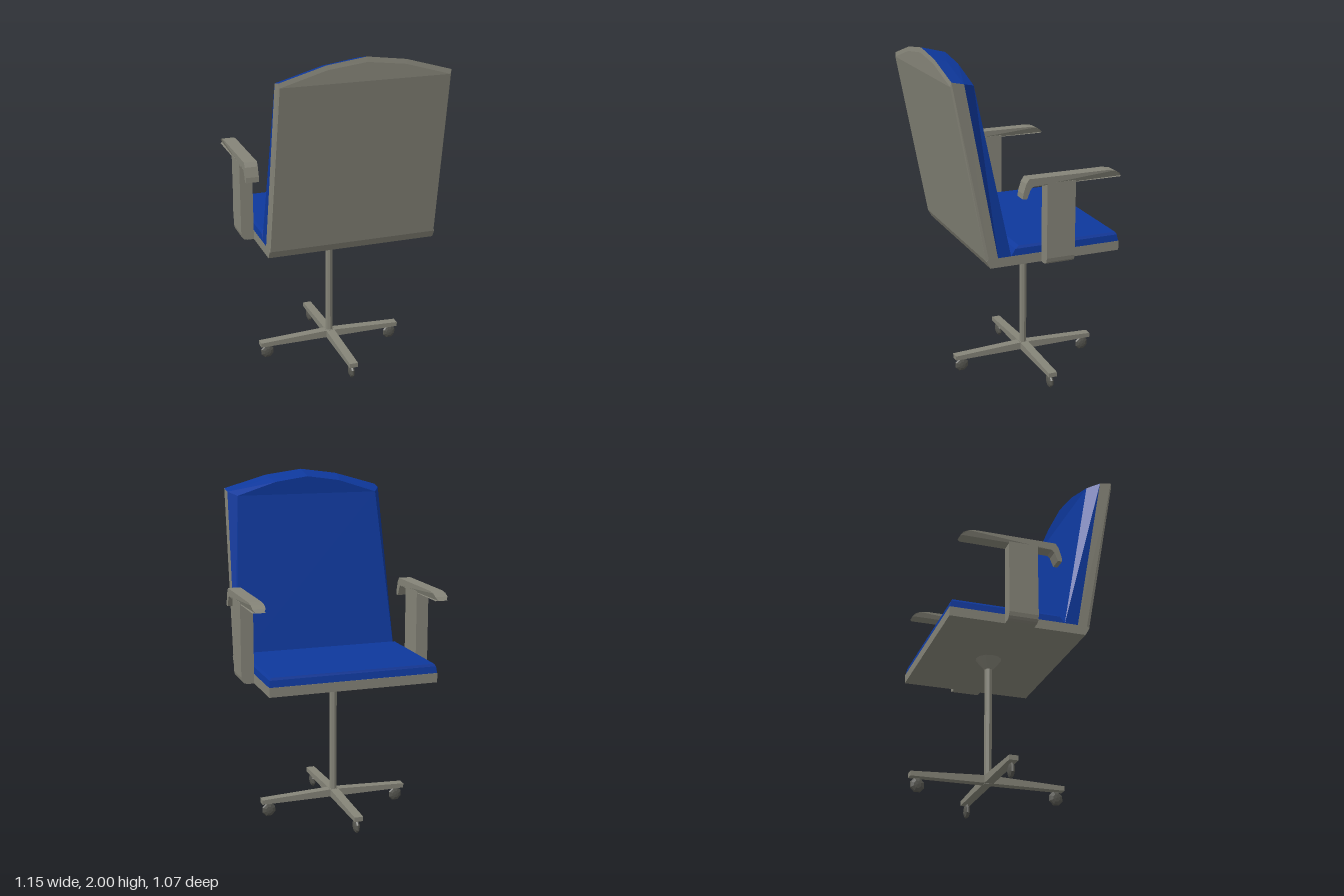
import * as THREE from 'three';

const grey = new THREE.MeshStandardMaterial({ color: 0x858478 });
const blue = new THREE.MeshStandardMaterial({ color: 0x0e389c });
const dark = new THREE.MeshStandardMaterial({ color: 0x55554f });
grey.name = 'grey plastic';
blue.name = 'blue fabric';
dark.name = 'dark rubber';

const AXIS_Z = -0.085; // z of the pedestal

function mesh(name, geometry, material) {
  const flat = geometry.index ? geometry.toNonIndexed() : geometry;
  flat.computeVertexNormals();
  const m = new THREE.Mesh(flat, material);
  m.name = name;
  return m;
}

// Extrude an (x, y) outline along z from z0 to z1
function extrudeZ(points, z0, z1) {
  const shape = new THREE.Shape(points.map(([x, y]) => new THREE.Vector2(x, y)));
  return new THREE.ExtrudeGeometry(shape, { depth: z1 - z0, bevelEnabled: false }).translate(0, 0, z0);
}

// Extrude a (z, y) outline along x from x0 to x1
function extrudeX(points, x0, x1) {
  return extrudeZ(points.map(([z, y]) => [-z, y]), x0, x1).rotateY(Math.PI / 2);
}

// Geometry from flat convex polygons
function polygons(list) {
  const pos = [];
  for (const p of list) {
    for (let i = 1; i < p.length - 1; i++) pos.push(...p[0], ...p[i], ...p[i + 1]);
  }
  const g = new THREE.BufferGeometry();
  g.setAttribute('position', new THREE.Float32BufferAttribute(pos, 3));
  return g;
}

// Quads joining two rings; ring a runs anticlockwise seen from its outer side
function band(a, b) {
  return a.map((p, i) => {
    const j = (i + 1) % a.length;
    return [p, b[i], b[j], a[j]];
  });
}

// Outline of the backrest at one depth: straight sides and a low arched top
function backRing(xb, yb, zb, xt, yCorner, yShoulder, yPeak, zt) {
  const xs = xt * 0.46;
  return [
    [-xb, yb, zb], [xb, yb, zb], [xt, yCorner, zt], [xs, yShoulder, zt],
    [0, yPeak, zt], [-xs, yShoulder, zt], [-xt, yCorner, zt],
  ];
}

function seatRing(x, y, zBack, zFront) {
  return [[-x, y, zBack], [x, y, zBack], [x, y, zFront], [-x, y, zFront]];
}

function backrest() {
  const g = new THREE.Group();
  g.name = 'backrest';
  const outer = backRing(0.495, 0.89, 0.35, 0.48, 1.87, 1.945, 1.972, 0.535);
  const rim = backRing(0.5, 0.9, 0.335, 0.487, 1.895, 1.97, 2.0, 0.53);
  const seam = backRing(0.5, 0.9, 0.28, 0.485, 1.88, 1.954, 1.983, 0.46);
  const front = backRing(0.5, 0.89, 0.2, 0.44, 1.86, 1.936, 1.965, 0.39);
  const pick = (r, ids) => ids.map((i) => r[i]);
  const edge = band(rim, seam);
  const shell = [
    pick(outer, [0, 1, 2, 6]), pick(outer, [2, 3, 4, 5, 6]),
    ...band(outer, rim), edge[0], edge[1], edge[6],
  ];
  const cushion = [
    pick(front, [6, 2, 1, 0]), pick(front, [6, 5, 4, 3, 2]),
    ...band(seam, front), ...edge.slice(2, 6),
  ];
  g.add(mesh('backShell', polygons(shell), grey), mesh('backCushion', polygons(cushion), blue));
  return g;
}

function seat() {
  const g = new THREE.Group();
  g.name = 'seat';
  const pan = [[-0.465, 0.845], [0.325, 0.845], [0.35, 0.89], [0.335, 0.9], [-0.465, 0.9]];
  g.add(mesh('seatPan', extrudeX(pan, -0.5, 0.5), grey));
  const top = seatRing(0.485, 0.952, 0.15, -0.448);
  const mid = seatRing(0.495, 0.938, 0.175, -0.455);
  const low = seatRing(0.5, 0.895, 0.205, -0.464);
  g.add(mesh('seatCushion', polygons([top, ...band(top, mid), ...band(mid, low)]), blue));
  return g;
}

function armrest(side) {
  const g = new THREE.Group();
  g.name = side > 0 ? 'leftArmrest' : 'rightArmrest';
  // Upright with a rounded lower outer corner
  const post = [
    [0.5, 0.845], [0.54, 0.845], [0.558, 0.85], [0.57, 0.862], [0.575, 0.885],
    [0.575, 1.32], [0.5, 1.32],
  ].map(([x, y]) => [x * side, y]);
  g.add(mesh('armPost', extrudeZ(post, -0.15, 0.02), grey));
  // Pad that droops at the rear and thins out at the front
  const pad = [
    [0.165, 1.245], [0.163, 1.275], [0.145, 1.33], [0.128, 1.355], [-0.34, 1.355],
    [-0.385, 1.348], [-0.415, 1.332], [-0.432, 1.312], [-0.42, 1.31],
    [0.105, 1.31], [0.12, 1.295], [0.14, 1.245],
  ];
  const geo = extrudeX(pad, -0.0375, 0.0375);
  const p = geo.attributes.position;
  for (let i = 0; i < p.count; i++) {
    if (p.getZ(i) < -0.425) p.setX(i, p.getX(i) * 0.65);
  }
  geo.translate(side * 0.5375, 0, 0);
  g.add(mesh('armPad', geo, grey));
  return g;
}

function pedestal() {
  const g = new THREE.Group();
  g.name = 'pedestal';
  g.position.z = AXIS_Z;
  const cyl = (name, rTop, rBottom, y0, y1, n) =>
    g.add(mesh(name, new THREE.CylinderGeometry(rTop, rBottom, y1 - y0, n).translate(0, (y0 + y1) / 2, 0), grey));
  cyl('column', 0.023, 0.023, 0.1, 0.8, 8);
  cyl('hub', 0.028, 0.028, 0.083, 0.132, 8);
  cyl('seatMount', 0.078, 0.024, 0.78, 0.847, 12);
  // Four tapered legs, each with a caster
  for (let i = 0; i < 4; i++) {
    const leg = new THREE.Group();
    leg.name = 'leg' + (i + 1);
    leg.rotation.y = (i * Math.PI) / 2;
    const profile = [[0, 0.085], [0.45, 0.085], [0.45, 0.112], [0, 0.131]];
    leg.add(mesh('legBar', extrudeZ(profile, -0.026, 0.026), grey));
    const wheel = new THREE.SphereGeometry(0.043, 8, 6).rotateX(Math.PI / 2).rotateZ(Math.PI / 8);
    wheel.scale(1, 1, 0.4).translate(0.405, 0.042, 0);
    leg.add(mesh('caster', wheel, dark));
    g.add(leg);
  }
  return g;
}

export function createModel() {
  const model = new THREE.Group();
  model.name = 'officeChair';
  model.add(backrest(), seat(), armrest(1), armrest(-1), pedestal());
  return model;
}
